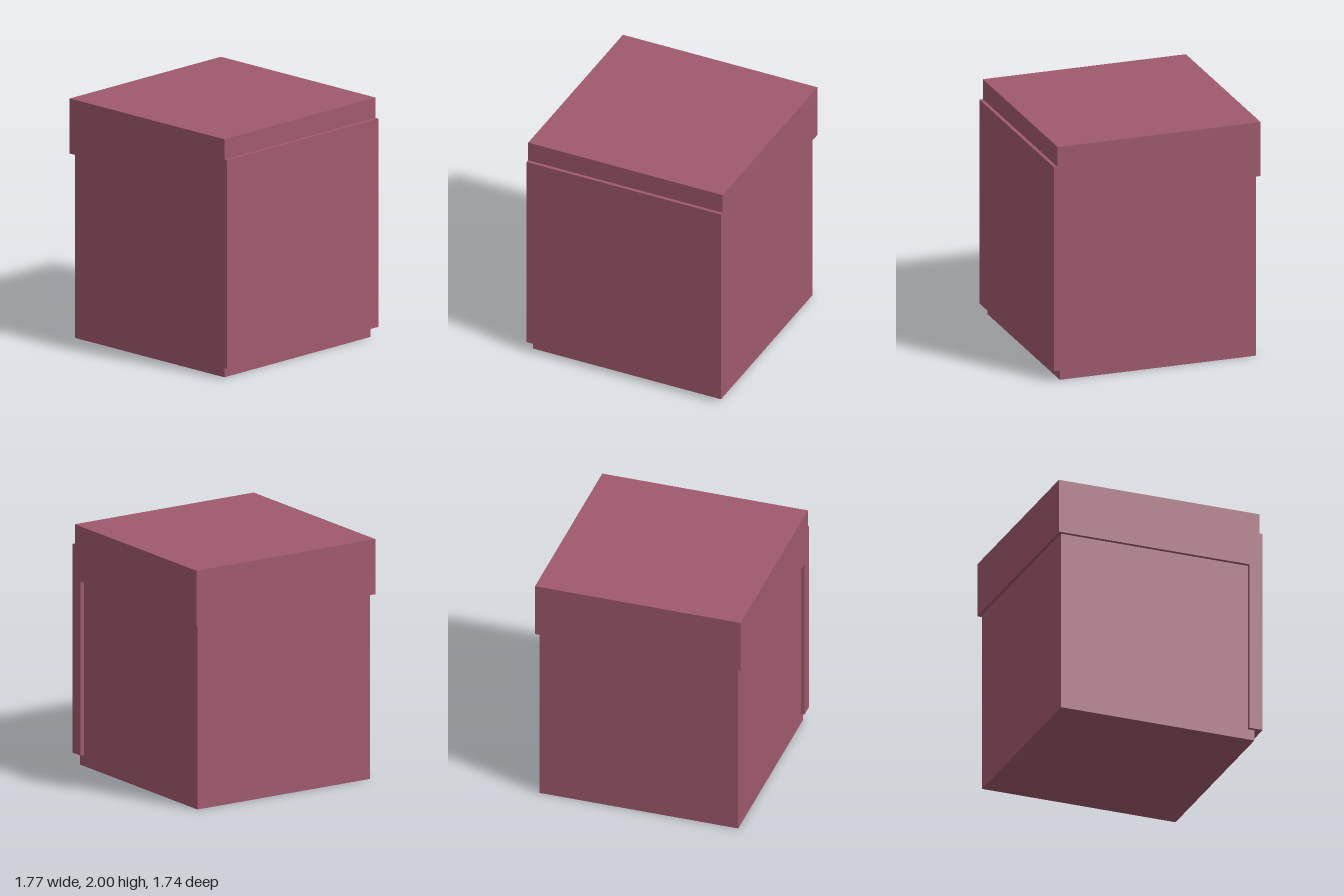
import * as THREE from 'three';

export function createModel() {
  const group = new THREE.Group();
  const rose = new THREE.MeshStandardMaterial({ color: 0xa05a6c });
  rose.name = 'dusty rose';

  // Main block, tucked up inside the cover
  const body = new THREE.Mesh(new THREE.BoxGeometry(1.68, 1.7, 1.68), rose);
  body.name = 'body';
  body.position.set(-0.015, 0.85, 0);
  group.add(body);

  // Lid and side panel share flush faces, so they are one profile swept front to back
  const depth = 1.74;
  const profile = new THREE.Shape([
    [-0.885, 1.54], [0.77, 1.54], [0.77, 0.09], [0.885, 0.09],
    [0.885, 1.83], [0.855, 1.83], [0.855, 2], [-0.885, 2],
  ].map(([x, y]) => new THREE.Vector2(x, y)));
  const coverGeometry = new THREE.ExtrudeGeometry(profile, { depth, bevelEnabled: false });
  coverGeometry.translate(0, 0, -depth / 2);
  const cover = new THREE.Mesh(coverGeometry, rose);
  cover.name = 'lidAndSidePanel';
  group.add(cover);

  return group;
}
